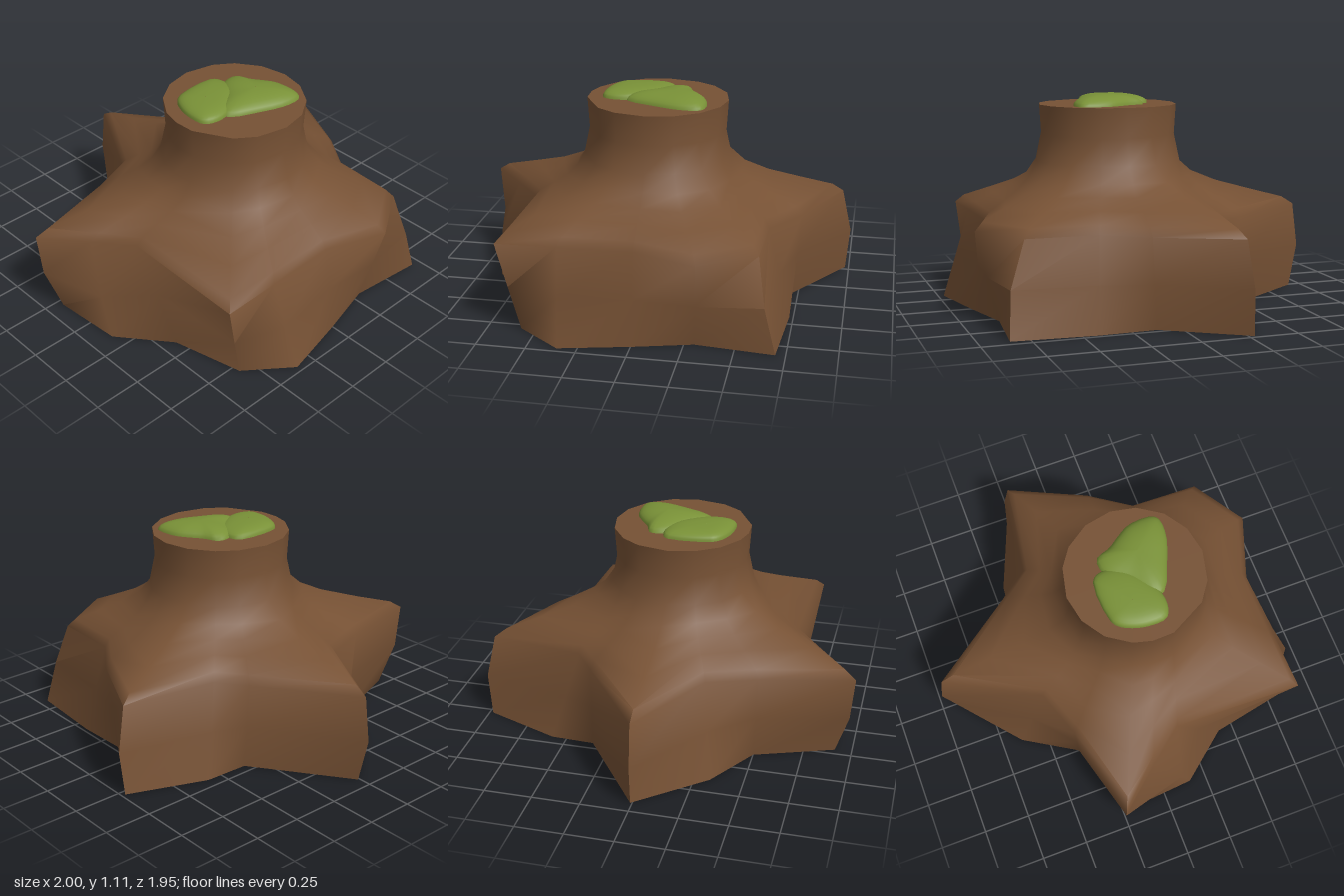
import * as THREE from 'three';
import { toCreasedNormals } from 'three/addons/utils/BufferGeometryUtils.js';

// Skin a stack of closed rings (each an array of [x, y, z], clockwise from above)
function loft(rings) {
  const n = rings[0].length;
  const index = [];
  for (let r = 0; r < rings.length - 1; r++) {
    for (let i = 0; i < n; i++) {
      const a = r * n + i, b = r * n + (i + 1) % n;
      index.push(a, a + n, b, b, a + n, b + n);
    }
  }
  const geo = new THREE.BufferGeometry();
  geo.setAttribute('position', new THREE.Float32BufferAttribute(rings.flat(2), 3));
  geo.setIndex(index);
  geo.computeVertexNormals();
  return geo;
}

// Flat lid over a ring
function lid(ring, cx, cz) {
  const n = ring.length;
  const index = [];
  for (let i = 0; i < n; i++) index.push(n, (i + 1) % n, i);
  const geo = new THREE.BufferGeometry();
  geo.setAttribute('position', new THREE.Float32BufferAttribute([...ring.flat(), cx, ring[0][1], cz], 3));
  geo.setIndex(index);
  geo.computeVertexNormals();
  return geo;
}

// Root outlines [x, z], starting at the back and running towards +x
const GROUND = [
  [0.01, -0.93], [0.35, -0.45], [0.58, -0.44], [0.98, -0.28],
  [0.72, 0.12], [0.73, 0.42], [0.70, 0.85], [0.30, 0.81],
  [0, 0.89], [-0.35, 0.97], [-0.58, 0.79], [-0.67, 0.42],
  [-0.88, 0.16], [-0.91, -0.21], [-0.50, -0.36], [-0.33, -0.64],
];
const SHOULDER = [
  [0, -0.95], [0.34, -0.48], [0.45, -0.33], [0.95, -0.25],
  [0.76, 0.16], [0.61, 0.38], [0.60, 0.75], [0.32, 0.93],
  [0, 0.81], [-0.38, 0.82], [-0.69, 0.83], [-0.67, 0.14],
  [-0.82, -0.05], [-1, -0.27], [-0.52, -0.38], [-0.26, -0.47],
];
// Places where the middle ring bulges away from the average of the two
const BULGES = { 0: [0, -0.98], 3: [1, -0.27], 6: [0.64, 0.83], 12: [-0.885, 0.1], 13: [-0.98, -0.26] };
const NECK_Z = 0.145;

// Point on the round neck that belongs to outline corner i
function neckPoint(i, radius) {
  const [x, z] = SHOULDER[i];
  let own = Math.atan2(x, NECK_Z - z);
  if (own < -0.001) own += Math.PI * 2;
  const angle = (own + (i / SHOULDER.length) * Math.PI * 2) / 2;
  return [radius * Math.sin(angle), NECK_Z - radius * Math.cos(angle)];
}

// Domed cushion from a closed outline; a higher power gives steeper sides
function cushion(points, base, height, power) {
  const curve = new THREE.CatmullRomCurve3(points.map(([x, z]) => new THREE.Vector3(x, 0, z)), true);
  const outline = curve.getPoints(32).slice(0, 32);
  const c = outline.reduce((s, p) => s.add(p), new THREE.Vector3()).divideScalar(32);
  const rings = [];
  for (let k = 0; k <= 8; k++) {
    const t = Math.min((k / 8) * Math.PI / 2, 1.57);
    const s = Math.cos(t) ** (2 / power), h = Math.sin(t) ** (2 / power);
    rings.push(outline.map((p) => [c.x + (p.x - c.x) * s, base + h * height, c.z + (p.z - c.z) * s]));
  }
  return loft(rings);
}

export function createModel() {
  const bark = new THREE.MeshStandardMaterial({ color: 0x765134, side: THREE.DoubleSide });
  bark.name = 'brown bark';
  const green = new THREE.MeshStandardMaterial({ color: 0x799137 });
  green.name = 'moss green';

  const model = new THREE.Group();
  model.name = 'treeStump';
  const add = (name, geo, mat) => {
    const mesh = new THREE.Mesh(geo, mat);
    mesh.name = name;
    model.add(mesh);
  };

  // Twisted star of roots, open underneath
  const rings = [
    GROUND.map(([x, z]) => [x, 0, z]),
    GROUND.map(([x, z], i) => {
      const [mx, mz] = BULGES[i] || [(x + SHOULDER[i][0]) / 2, (z + SHOULDER[i][1]) / 2];
      return [mx, 0.23, mz];
    }),
  ];
  // Shoulder flowing into the neck: [height, blend to neck, neck radius]
  const flow = [
    [0.465, 0, 0.4], [0.508, 0.1, 0.4], [0.565, 0.4, 0.4], [0.62, 0.68, 0.4],
    [0.68, 0.89, 0.4], [0.76, 1, 0.385], [0.9, 1, 0.355], [1.055, 1, 0.365],
  ];
  for (const [y, blend, radius] of flow) {
    rings.push(SHOULDER.map(([x, z], i) => {
      const [nx, nz] = neckPoint(i, radius);
      return [x + (nx - x) * blend, y, z + (nz - z) * blend];
    }));
  }
  add('trunkAndRoots', toCreasedNormals(loft(rings), 1.35), bark);

  // Cut top
  add('cutTop', lid(rings[rings.length - 1], 0, NECK_Z), bark);

  // Two overlapping moss cushions
  add('mossBack', cushion([
    [-0.21, 0.24], [-0.275, 0.21], [-0.285, 0.12], [-0.27, 0.04], [-0.235, -0.03],
    [-0.19, -0.06], [0.04, -0.065], [0.07, -0.01], [0.05, 0.1], [-0.1, 0.22],
  ], 1.05, 0.05, 2.8), green);
  add('mossFront', cushion([
    [0.05, 0], [0.14, -0.01], [0.175, 0.07], [0.22, 0.135], [0.262, 0.21], [0.265, 0.34],
    [0.235, 0.37], [0.14, 0.37], [0, 0.32], [-0.14, 0.25], [-0.15, 0.19], [-0.04, 0.1],
  ], 1.05, 0.06, 2.2), green);

  return model;
}
